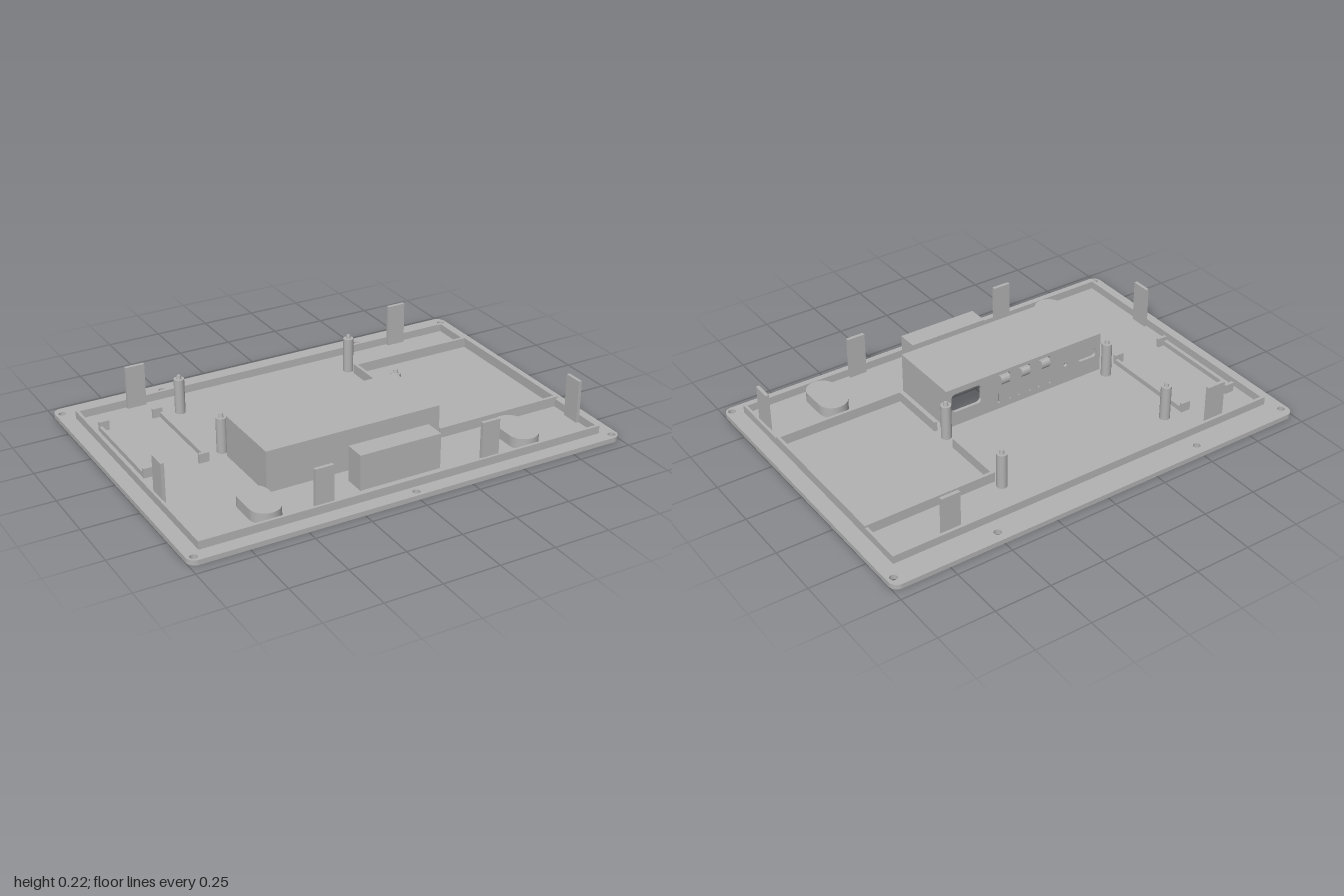
import * as THREE from 'three';

const grey = new THREE.MeshStandardMaterial({ color: 0xb2b2b2 });
grey.name = 'greyPlastic';

const FLOOR = 0.022, T = 0.014; // floor height, wall thickness

export function createModel() {
  const model = new THREE.Group();
  model.name = 'enclosureBackCover';

  const add = (name, geo) => {
    const m = new THREE.Mesh(geo, grey);
    m.name = name;
    model.add(m);
    return m;
  };
  // box from its limits
  const block = (name, x0, x1, y0, y1, z0, z1) => add(name,
    new THREE.BoxGeometry(x1 - x0, y1 - y0, z1 - z0)
      .translate((x0 + x1) / 2, (y0 + y1) / 2, (z0 + z1) / 2));
  // flat outline in x,z raised from y0 to y1
  const slab = (name, shape, y0, y1) => add(name,
    new THREE.ExtrudeGeometry(shape, { depth: y1 - y0, bevelEnabled: false, curveSegments: 12 })
      .rotateX(Math.PI / 2).translate(0, y1, 0));

  // rectangle with rounded corners
  const rect = (x0, x1, y0, y1, r = 0, P = THREE.Shape) => {
    const s = new P();
    if (!r) return s.setFromPoints([[x0, y0], [x1, y0], [x1, y1], [x0, y1], [x0, y0]]
      .map(p => new THREE.Vector2(...p)));
    s.absarc(x1 - r, y0 + r, r, -Math.PI / 2, 0);
    s.absarc(x1 - r, y1 - r, r, 0, Math.PI / 2);
    s.absarc(x0 + r, y1 - r, r, Math.PI / 2, Math.PI);
    s.absarc(x0 + r, y0 + r, r, Math.PI, Math.PI * 1.5);
    s.closePath();
    return s;
  };
  const hole = (...a) => rect(a[0], a[1], a[2], a[3], a[4] || 0, THREE.Path);
  const circle = (x, y, r) => {
    const p = new THREE.Path();
    p.absarc(x, y, r, 0, Math.PI * 2);
    return p;
  };

  // base plate with screw holes, housing openings and keyholes
  const plate = rect(-1, 1, -0.7, 0.7, 0.04);
  for (const [x, z] of [[-0.97, -0.65], [-0.5, -0.65], [0.5, -0.65], [0.97, -0.65],
    [-0.97, 0.67], [0, 0.67], [0.97, 0.67]]) plate.holes.push(circle(x, z, 0.016));
  plate.holes.push(hole(-0.506, 0.271, 0.054, 0.376), hole(-0.176, 0.171, 0.477, 0.543));
  for (const x of [-0.605, 0.605]) {
    const k = new THREE.Path(), a = Math.asin(0.022 / 0.042);
    k.absarc(x, 0.535, 0.042, -Math.PI / 2 + a, Math.PI * 1.5 - a);
    k.absarc(x, 0.425, 0.022, Math.PI, Math.PI * 2);
    k.closePath();
    plate.holes.push(k);
  }
  slab('basePlate', plate, 0, FLOOR);

  // raised rim
  const rim = rect(-0.934, 0.93, -0.583, 0.636);
  rim.holes.push(hole(-0.921, 0.917, -0.569, 0.623));
  slab('rim', rim, FLOOR, 0.058);

  // snap tabs
  for (const [x0, x1, z0, z1] of [
    [-0.705, -0.618, -0.569, -0.553], [0.615, 0.7, -0.569, -0.553],
    [-0.43, -0.347, 0.609, 0.625], [0.34, 0.423, 0.609, 0.625],
    [-0.923, -0.908, 0.207, 0.292], [0.904, 0.919, 0.427, 0.512],
  ]) block('snapTab', x0, x1, FLOOR, 0.217, z0, z1);

  // main housing: roof, three walls and a pierced port wall
  const H = 0.208;
  block('housingRoof', -0.52, 0.285, H - T, H, 0.04, 0.39);
  block('housingFrontWall', -0.52, 0.285, FLOOR, H - T, 0.376, 0.39);
  block('housingRightWall', -0.52, -0.506, FLOOR, H - T, 0.054, 0.376);
  block('housingLeftWall', 0.271, 0.285, FLOOR, H - T, 0.054, 0.376);
  const ports = rect(-0.52, 0.285, FLOOR, H - T);
  ports.holes.push(hole(0.11, 0.26, 0.09, 0.18, 0.02), circle(-0.33, 0.115, 0.01),
    hole(-0.495, -0.4, 0.1, 0.145, 0.015));
  const buttons = [-0.22, -0.115, -0.01];
  for (const x of buttons) { // U-shaped slit leaves a flexible tongue
    const u = new THREE.Path();
    u.setFromPoints([[-0.034, 0.05], [-0.024, 0.05], [-0.024, 0.182], [0.024, 0.182],
      [0.024, 0.05], [0.034, 0.05], [0.034, 0.191], [-0.034, 0.191]]
      .map(p => new THREE.Vector2(x + p[0], p[1])));
    u.closePath();
    ports.holes.push(u);
  }
  add('portWall', new THREE.ExtrudeGeometry(ports, { depth: T, bevelEnabled: false, curveSegments: 8 })
    .translate(0, 0, 0.04));
  for (const x of buttons) {
    const bump = add('buttonBump', new THREE.CylinderGeometry(0.021, 0.021, 0.044, 16).rotateZ(Math.PI / 2));
    bump.scale.z = 0.62;
    bump.position.set(x, 0.161, 0.042);
  }

  // small housing, open below
  const small = rect(-0.19, 0.185, 0.463, 0.557);
  small.holes.push(hole(-0.176, 0.171, 0.477, 0.543));
  slab('smallHousingWalls', small, FLOOR, 0.168);
  block('smallHousingRoof', -0.19, 0.185, 0.168, 0.18, 0.463, 0.557);

  // hollow caps over the keyholes
  for (const x of [-0.605, 0.605]) {
    const cap = rect(x - 0.067, x + 0.067, 0.375, 0.605, 0.0669);
    const walls = cap.clone();
    walls.holes.push(hole(x - 0.055, x + 0.055, 0.387, 0.593, 0.0549));
    slab('keyholeCapWall', walls, FLOOR, 0.06);
    slab('keyholeCapTop', cap, 0.06, 0.07);
  }

  // board posts with locating pins
  for (const x of [-0.52, 0.318]) for (const z of [-0.415, -0.007]) {
    add('boardPost', new THREE.CylinderGeometry(0.023, 0.023, 0.16, 24)).position.set(x, 0.102, z);
    add('postPin', new THREE.CylinderGeometry(0.008, 0.011, 0.016, 16)).position.set(x, 0.19, z);
  }

  // battery bay frame, with a gap in its inner side
  const B = 0.067;
  block('bayBackWall', 0.325, 0.93, FLOOR, B, -0.377, -0.363);
  block('bayFrontWall', 0.325, 0.93, FLOOR, B, 0.327, 0.341);
  block('bayInnerWall', 0.325, 0.339, FLOOR, B, -0.363, -0.085);
  block('bayInnerWall', 0.325, 0.339, FLOOR, B, 0.053, 0.327);
  block('bayOuterWall', 0.917, 0.93, 0.058, B, -0.363, 0.327);

  // pair of facing board brackets with hooked ends
  for (const [x, d] of [[-0.893, 1], [-0.602, -1]]) {
    const span = (name, w, h, z0, z1) =>
      block(name, Math.min(x, x + d * w), Math.max(x, x + d * w), FLOOR, h, z0, z1);
    span('bracketRail', T, 0.045, -0.415, 0.03);
    span('bracketHook', 0.045, 0.065, -0.429, -0.415);
    span('bracketHook', 0.045, 0.065, 0.03, 0.044);
  }

  return model;
}
